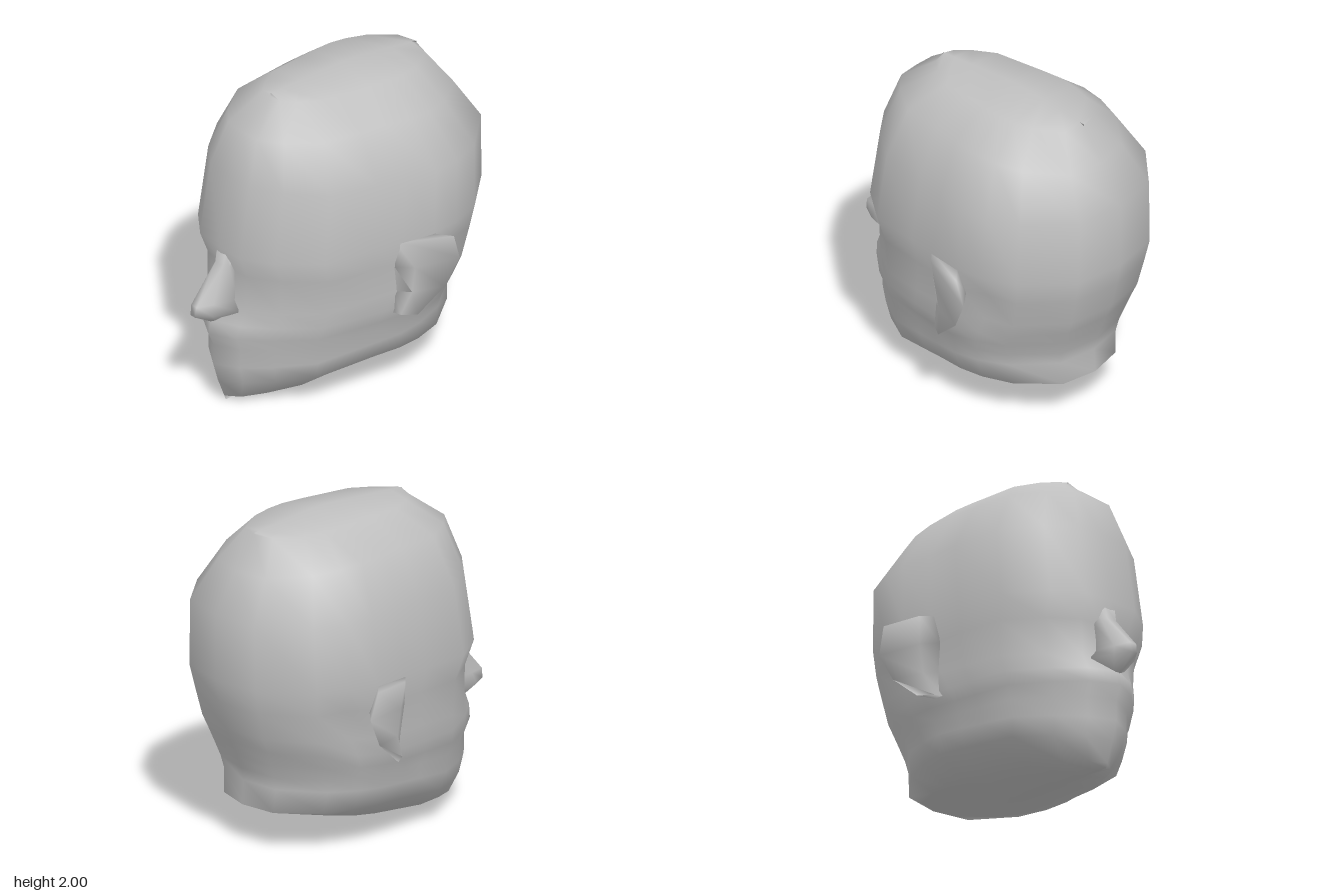
import * as THREE from 'three';
import { mergeVertices } from 'three/addons/utils/BufferGeometryUtils.js';

const skin = new THREE.MeshStandardMaterial({ color: 0xbfbfbf });
skin.name = 'greySkin';

// Skins a stack of closed rings, bottom to top, each running front, left, back, right
function loft(rings, name) {
  const n = rings[0].length;
  const index = [];
  for (let r = 0; r < rings.length - 1; r++) {
    for (let i = 0; i < n; i++) {
      const a = r * n + i, b = r * n + (i + 1) % n;
      index.push(a, b, a + n, b, b + n, a + n);
    }
  }
  const top = (rings.length - 1) * n;
  for (let i = 1; i < n - 1; i++) {
    index.push(0, i + 1, i, top, top + i, top + i + 1);
  }
  let geo = new THREE.BufferGeometry();
  geo.setAttribute('position', new THREE.Float32BufferAttribute(rings.flat(2), 3));
  geo.setIndex(index);
  geo = mergeVertices(geo, 1e-4);
  geo.computeVertexNormals();
  const mesh = new THREE.Mesh(geo, skin);
  mesh.name = name;
  return mesh;
}

// Half outline of the skull seen from above: width share, depth share, depth share when pointed
const plan = [
  [0, 1, 1], [0.28, 0.995, 0.95], [0.54, 0.925, 0.86], [0.82, 0.8, 0.73], [0.9, 0.62, 0.59],
  [0.95, 0.51, 0.5], [1, 0.39, 0.39], [0.97, 0.29, 0.29], [0.85, 0.175, 0.175], [0.47, 0.03, 0.03], [0, 0, 0],
];

// A skull ring may rise or fall between its front, middle and back
function skullRing([w, zf, yf, ym, zb, yb, pointed = 0, dent = 0]) {
  const half = plan.map(([px, u0, u1], i) => {
    const u = THREE.MathUtils.lerp(u0, u1, pointed);
    const y = u > 0.45
      ? THREE.MathUtils.lerp(ym, yf, (u - 0.45) / 0.55)
      : THREE.MathUtils.lerp(yb, ym, u / 0.45);
    const hollow = i === 7 ? dent : 0; // hollow behind the ear
    return [w * px * (1 - hollow), y, THREE.MathUtils.lerp(zb, zf, u)];
  });
  const other = half.slice(1, -1).reverse().map(([x, y, z]) => [-x, y, z]);
  return [...half, ...other];
}

// width, front z, front y, middle y, back z, back y, pointedness, hollow
const skull = [
  [0, 0.74, 0, 0.06, -0.785, 0.25, 0.8],
  [0.29, 0.75, 0.03, 0.11, -0.785, 0.25, 0.8],
  [0.5, 0.8, 0.16, 0.25, -0.79, 0.25, 1],
  [0.53, 0.83, 0.28, 0.36, -0.78, 0.4, 1],
  [0.55, 0.83, 0.41, 0.45, -0.8, 0.48, 1],
  [0.58, 0.87, 0.5, 0.52, -0.835, 0.57, 1],
  [0.61, 0.85, 0.59, 0.6, -0.87, 0.66, 0.9, 0.03],
  [0.63, 0.78, 0.68, 0.72, -0.91, 0.75, 0.5, 0.07],
  [0.65, 0.745, 0.92, 0.92, -0.955, 0.92, 0.15, 0.07],
  [0.68, 0.79, 1.07, 1.08, -0.99, 1.07],
  [0.66, 0.715, 1.53, 1.48, -0.99, 1.48],
  [0.49, 0.62, 1.8, 1.79, -0.84, 1.72],
  [0.28, 0.4, 1.96, 1.95, -0.7, 1.92],
  [0, 0.4, 1.98, 2, -0.7, 1.93],
];

// Nose sections: y, root half width, root z, wing half width, wing z, ridge half width, ridge z
const nose = [
  [0.585, 0.03, 0.76, 0.02, 0.83, 0.008, 0.86],
  [0.665, 0.14, 0.74, 0.08, 0.9, 0.02, 0.99],
  [0.73, 0.1, 0.73, 0.06, 0.88, 0.025, 0.98],
  [0.95, 0.1, 0.7, 0.06, 0.76, 0.035, 0.79],
  [1.04, 0.12, 0.7, 0.07, 0.75, 0.04, 0.77],
];
const noseRing = ([y, ...p]) => {
  const right = [0, 2, 4].map((k) => [-p[k], y, p[k + 1]]);
  return [...right, ...right.slice().reverse().map(([x, , z]) => [-x, y, z])];
};

// Ear sections: y, then x and z of the front root, shell, outer rim and back root
const ear = [
  [0.57, 0.57, -0.06, 0.63, -0.08, 0.69, -0.16, 0.58, -0.12],
  [0.72, 0.59, -0.06, 0.66, -0.14, 0.73, -0.33, 0.6, -0.25],
  [0.9, 0.61, -0.05, 0.69, -0.14, 0.76, -0.42, 0.62, -0.32],
  [1.07, 0.62, -0.05, 0.71, -0.12, 0.77, -0.37, 0.64, -0.27],
];
function earRing([y, ...p], side) {
  const ring = [0, 2, 4, 6].map((k) => [side * p[k], y, p[k + 1]]);
  return side > 0 ? ring : ring.reverse();
}

export function createModel() {
  const head = new THREE.Group();
  head.name = 'head';
  head.add(loft(skull.map(skullRing), 'skull'));
  head.add(loft(nose.map(noseRing), 'nose'));
  for (const side of [1, -1]) {
    head.add(loft(ear.map((s) => earRing(s, side)), side > 0 ? 'leftEar' : 'rightEar'));
  }
  return head;
}
